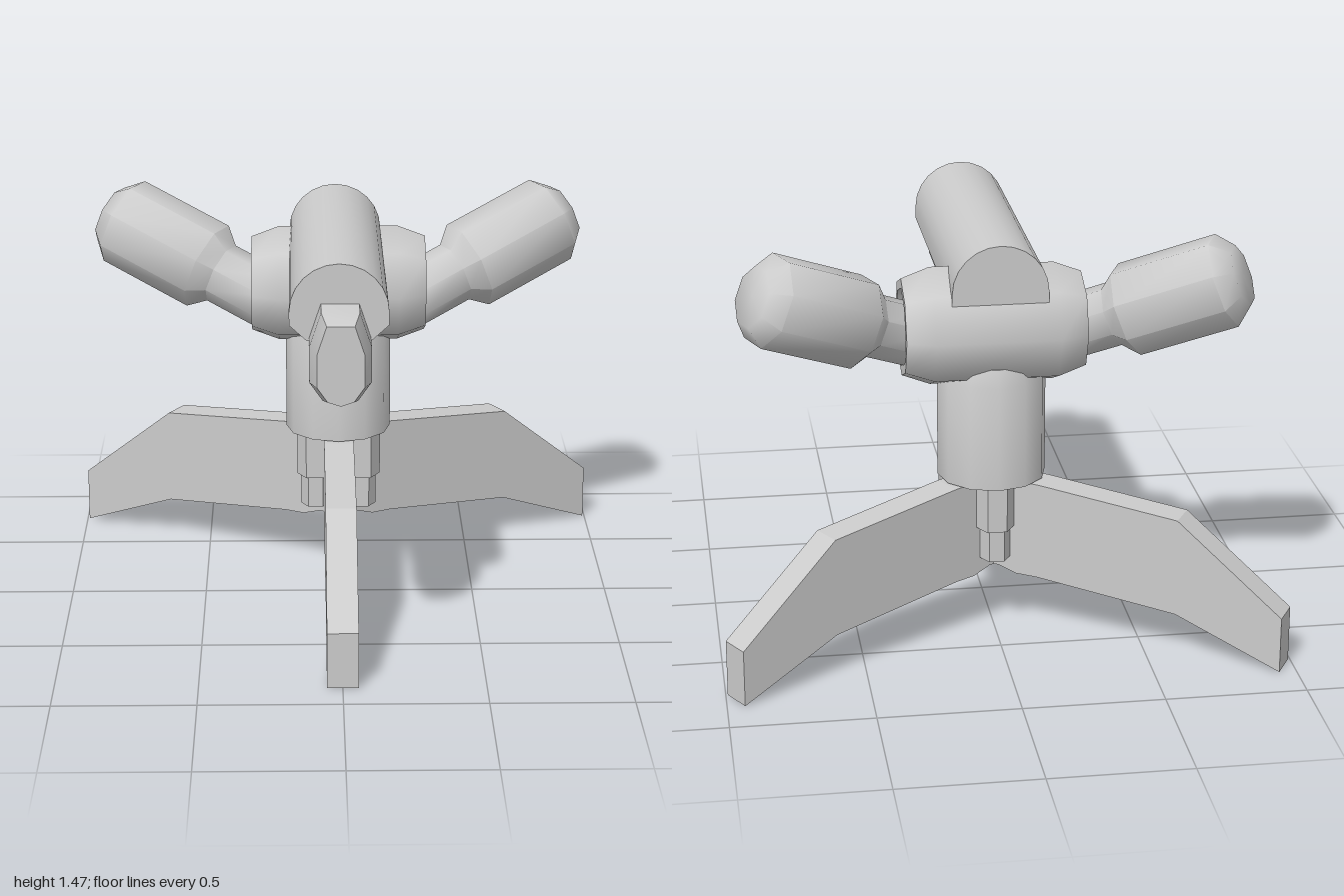
import * as THREE from 'three';
import { toCreasedNormals } from 'three/addons/utils/BufferGeometryUtils.js';

const AXIS_Z = -0.245;

export function createModel() {
  const model = new THREE.Group();
  const grey = new THREE.MeshStandardMaterial({ color: 0xcccccc });

  const add = (name, geometry, parent = model) => {
    const mesh = new THREE.Mesh(geometry, grey);
    mesh.name = name;
    parent.add(mesh);
    return mesh;
  };
  const points = (list) => list.map(([x, y]) => new THREE.Vector2(x, y));
  const lathe = (profile, sides) =>
    toCreasedNormals(new THREE.LatheGeometry(points(profile), sides), 0.85);
  const extrude = (outline, options) =>
    new THREE.ExtrudeGeometry(new THREE.Shape(points(outline)), { bevelEnabled: false, ...options });

  // Tripod: three bent flat legs, with stepped hexagonal posts between them
  const tripod = new THREE.Group();
  tripod.name = 'tripod';
  tripod.position.z = AXIS_Z;
  model.add(tripod);
  const legOutline = [
    [0, 0.235], [0.05, 0.235], [0.12, 0.212], [0.2, 0.21], [0.725, 0.155], [1.115, 0],
    [1.115, 0.205], [0.725, 0.515], [0.2, 0.57], [0, 0.575],
  ];
  const legGeometry = extrude(legOutline, { depth: 0.11 });
  legGeometry.translate(0, 0, -0.055);
  for (let i = 0; i < 3; i++) {
    const angle = -Math.PI / 2 + (i * Math.PI * 2) / 3;
    add('leg', legGeometry, tripod).rotation.y = angle;

    const post = new THREE.Group();
    post.name = 'post';
    const between = angle + Math.PI / 3;
    post.position.set(Math.cos(between) * 0.1, 0, -Math.sin(between) * 0.1);
    post.rotation.y = between;
    tripod.add(post);
    const steps = [['postUpper', 0.07, 0.40, 0.58], ['postLower', 0.055, 0.28, 0.40]];
    for (const [name, radius, bottom, top] of steps) {
      const step = new THREE.CylinderGeometry(radius, radius, top - bottom, 6).toNonIndexed();
      step.computeVertexNormals();
      add(name, step, post).position.y = (top + bottom) / 2;
    }
  }

  // Upright column, tapered where it enters the head
  const column = add('column', lathe(
    [[0, 0.575], [0.195, 0.575], [0.195, 0.96], [0.17, 1.02], [0, 1.02]], 12));
  column.position.z = AXIS_Z;

  // Cross head: chamfered horizontal drum with recessed ends
  const head = add('head', lathe([
    [0, -0.26], [0.13, -0.26], [0.145, -0.32], [0.18, -0.32], [0.218, -0.22],
    [0.218, 0.22], [0.18, 0.32], [0.145, 0.32], [0.13, 0.26], [0, 0.26],
  ], 8));
  head.rotation.z = Math.PI / 2;
  head.position.set(0, 1.135, AXIS_Z + 0.007);

  // Two handles, angled outward, up and back
  const handleGeometry = lathe([
    [0, -0.27], [0.115, -0.27], [0.115, -0.06], [0.168, 0], [0.168, 0.37], [0.11, 0.43], [0, 0.43],
  ], 8);
  for (const side of [1, -1]) {
    const handle = add(side > 0 ? 'leftHandle' : 'rightHandle', handleGeometry);
    const direction = new THREE.Vector3(side * 0.852, 0.37, -0.37).normalize();
    handle.quaternion.setFromUnitVectors(new THREE.Vector3(0, 1, 0), direction);
    handle.position.set(side * 0.485, 1.185, -0.30);
  }

  // Upper barrel: round on top, narrowing underneath
  const upperOutline = [[-0.11, 1.2], [0.11, 1.2], [0.17, 1.255]];
  for (let i = 0; i <= 12; i++) {
    const a = (i / 12) * Math.PI;
    upperOutline.push([Math.cos(a) * 0.17, 1.3 + Math.sin(a) * 0.17]);
  }
  upperOutline.push([-0.17, 1.255]);
  const upper = add('upperBarrel', toCreasedNormals(extrude(upperOutline, { depth: 1.085 }), 0.7));
  upper.position.set(-0.01, 0, -0.405);

  // Lower barrel: tall narrow section with a bevelled nose
  const lowerOutline = [
    [-0.06, 1.02], [0, 1.0], [0.06, 1.02], [0.105, 1.085], [0.105, 1.21],
    [0.065, 1.33], [-0.065, 1.33], [-0.105, 1.21], [-0.105, 1.085],
  ];
  const lower = add('lowerBarrel', toCreasedNormals(extrude(lowerOutline, {
    depth: 0.98, bevelEnabled: true, bevelSegments: 1,
    bevelSize: 0.025, bevelThickness: 0.08, bevelOffset: -0.025,
  }), 0.5));
  lower.position.set(-0.007, 0, -0.2);

  return model;
}
